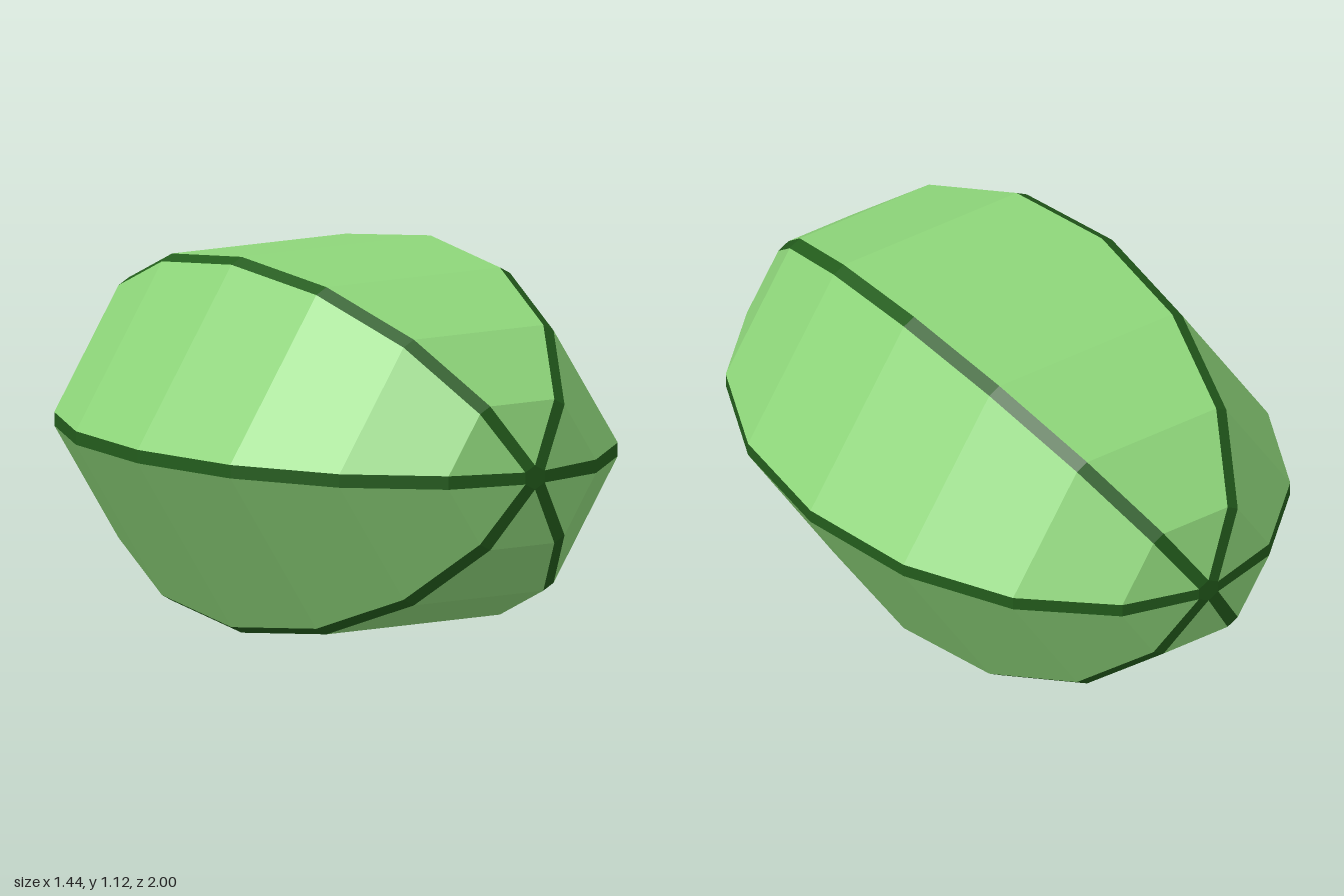
import * as THREE from 'three';

const RX = 0.733, RY = 0.56, RZ = 1.013; // half width, half height, half length
const SEAM = 0.024;                      // seam half width, measured along a panel edge

// Corners of the flattened hexagonal section, counter-clockwise from +x
const hex = Array.from({ length: 6 }, (_, j) => new THREE.Vector2(
  RX * Math.cos(j * Math.PI / 3), RY * Math.sin(j * Math.PI / 3) / Math.sin(Math.PI / 3)));

// Stations along z: a small cap, seven rings, a small cap
const CAP = 0.064;
const capZ = RZ * (1 - (1 - Math.cos(Math.PI / 8)) * CAP / Math.sin(Math.PI / 8));
const stations = [{ s: CAP, z: capZ }];
for (let k = 1; k < 8; k++) {
  stations.push({ s: Math.sin(k * Math.PI / 8), z: RZ * Math.cos(k * Math.PI / 8) });
}
stations.push({ s: CAP, z: -capZ });

// Each side of a ring gives a start and an end point, pulled in from the corners
const rings = stations.map(({ s, z }) => hex.map((a, j) => {
  const b = hex[(j + 1) % 6];
  const t = Math.min(0.5, SEAM / (s * a.distanceTo(b)));
  const point = (u) => {
    const p = a.clone().lerp(b, u).multiplyScalar(s);
    return new THREE.Vector3(p.x, p.y + RY, z);
  };
  return [point(t), point(1 - t)];
}));

function makeMesh(name, triangles, color) {
  const geometry = new THREE.BufferGeometry().setFromPoints(triangles);
  geometry.computeVertexNormals();
  const mesh = new THREE.Mesh(geometry, new THREE.MeshStandardMaterial({ color, flatShading: true }));
  mesh.name = name;
  return mesh;
}

// Strip from front to back between two lengthwise lines of points
function strip(lineA, lineB) {
  const out = [];
  const add = (a, b, c) => {
    if (a.distanceTo(b) > 1e-6 && b.distanceTo(c) > 1e-6 && c.distanceTo(a) > 1e-6) out.push(a, b, c);
  };
  for (let k = 0; k < lineA.length - 1; k++) {
    add(lineA[k], lineA[k + 1], lineB[k + 1]);
    add(lineA[k], lineB[k + 1], lineB[k]);
  }
  return out;
}

export function createModel() {
  const model = new THREE.Group();
  model.name = 'facetedPod';
  const green = 0x8ed67a, dark = 0x235c1c;
  const line = (j, end) => rings.map((ring) => ring[j % 6][end]);

  // Six panels and the six narrow seams between them
  for (let j = 0; j < 6; j++) {
    model.add(makeMesh('panel' + (j + 1), strip(line(j, 0), line(j, 1)), green));
    model.add(makeMesh('seam' + (j + 1), strip(line(j + 5, 1), line(j, 0)), dark));
  }

  // Small hexagonal caps where the seams meet
  for (const [name, ring, flip] of [['frontCap', rings[0], false], ['backCap', rings[8], true]]) {
    const corners = ring.map((side) => side[0]);
    const triangles = [];
    for (let j = 1; j < 5; j++) {
      triangles.push(corners[0], corners[flip ? j + 1 : j], corners[flip ? j : j + 1]);
    }
    model.add(makeMesh(name, triangles, dark));
  }
  return model;
}
